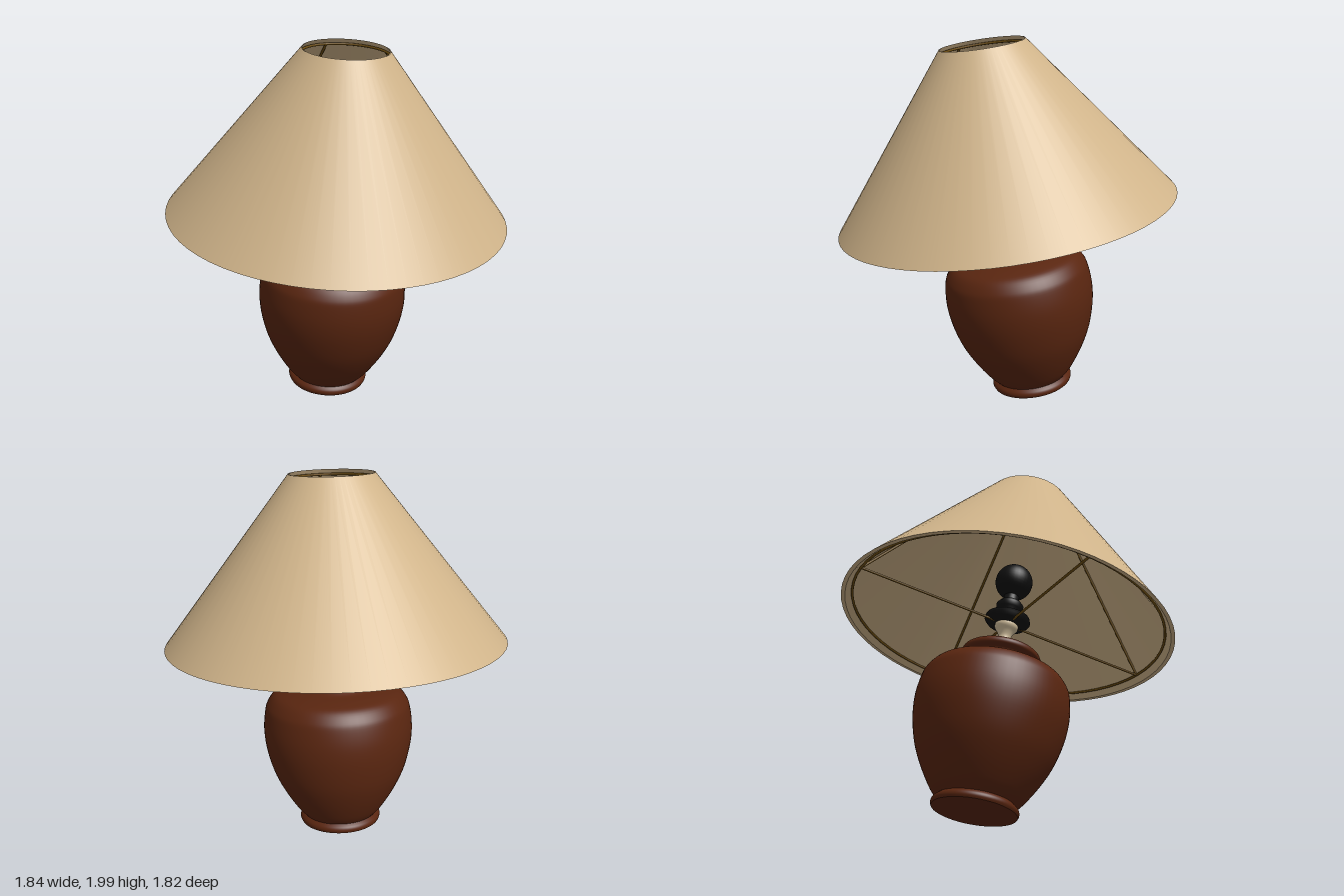
import * as THREE from 'three';

const SIDES = 64;
const mat = (name, color, side = THREE.FrontSide) => {
  const m = new THREE.MeshStandardMaterial({ color, side });
  m.name = name;
  return m;
};

export function createModel() {
  const clay = mat('brown clay', 0x5a2610);
  const fabric = mat('tan fabric', 0xd0b48a, THREE.DoubleSide);
  const cream = mat('cream ceramic', 0xd8c5a2);
  const black = mat('black plastic', 0x101010);
  const brass = mat('dark brass', 0x6b4c10);

  const lamp = new THREE.Group();
  lamp.name = 'tableLamp';

  const add = (name, geometry, material) => {
    const mesh = new THREE.Mesh(geometry, material);
    mesh.name = name;
    lamp.add(mesh);
    return mesh;
  };
  const vec = (pts) => pts.map(([r, y]) => new THREE.Vector2(r, y));
  const lathe = (name, pts, material) => add(name, new THREE.LatheGeometry(vec(pts), SIDES), material);
  const smooth = (pts, n) => new THREE.SplineCurve(vec(pts)).getPoints(n).map((p) => [p.x, p.y]);

  // Vase: flat underside, foot ring, bulging body, grooved neck and lip
  lathe('vaseUnderside', [[0, 0], [0.22, 0]], clay);
  lathe('vaseFoot', smooth([[0.22, 0], [0.226, 0.015], [0.222, 0.032], [0.206, 0.048]], 10), clay);
  lathe('vaseBody', smooth([
    [0.206, 0.048], [0.25, 0.1], [0.315, 0.205], [0.368, 0.32], [0.402, 0.45], [0.412, 0.56],
    [0.402, 0.66], [0.385, 0.71], [0.345, 0.757], [0.28, 0.78], [0.22, 0.793], [0.19, 0.808]], 50), clay);
  lathe('vaseNeck', smooth([
    [0.19, 0.808], [0.199, 0.818], [0.186, 0.832], [0.19, 0.845], [0.198, 0.85], [0.214, 0.862],
    [0.216, 0.88], [0.205, 0.896], [0.18, 0.905], [0.1, 0.908], [0, 0.908]], 40), clay);

  // Waisted stem between the vase and the socket
  lathe('stem', smooth([
    [0.075, 0.9], [0.064, 0.93], [0.04, 0.97], [0.034, 1.0], [0.045, 1.03], [0.062, 1.055],
    [0.064, 1.075], [0.05, 1.09]], 28), cream);

  // Socket with a wide saucer and a collar, then the bulb
  lathe('socket', [
    [0, 1.075], [0.06, 1.075], [0.11, 1.085], [0.127, 1.105], [0.122, 1.125], [0.06, 1.135], [0.055, 1.16],
    [0.074, 1.175], [0.076, 1.205], [0.06, 1.225], [0.042, 1.235], [0.042, 1.29]], black);
  add('bulb', new THREE.SphereGeometry(0.105, 32, 20), black).position.y = 1.36;

  // Conical shade: outer wall, hem at the bottom, inner wall
  lathe('shadeOuter', [[0.922, 1.054], [0.228, 1.948]], fabric);
  lathe('shadeHem', [[0.9, 1.054], [0.922, 1.054]], fabric);
  lathe('shadeInner', [[0.9, 1.054], [0.224, 1.948]], fabric);

  // Wire frame: two rings, four ribs and four spokes
  const wire = 0.007;
  const ring = (name, r, y) => {
    const mesh = add(name, new THREE.TorusGeometry(r, wire, 8, SIDES), brass);
    mesh.rotation.x = Math.PI / 2;
    mesh.position.y = y;
  };
  const rod = (name, a, b) => {
    const dir = b.clone().sub(a);
    const mesh = add(name, new THREE.CylinderGeometry(wire, wire, dir.length(), 8), brass);
    mesh.position.copy(a).add(b).multiplyScalar(0.5);
    mesh.quaternion.setFromUnitVectors(new THREE.Vector3(0, 1, 0), dir.normalize());
  };
  ring('bottomRing', 0.866, 1.085);
  ring('topRing', 0.232, 1.92);
  for (let i = 0; i < 4; i++) {
    const a = (i * Math.PI) / 2;
    const at = (r, y) => new THREE.Vector3(Math.cos(a) * r, y, Math.sin(a) * r);
    rod('frameRib', at(0.866, 1.085), at(0.232, 1.92));
    rod('frameSpoke', at(0.05, 1.085), at(0.866, 1.085));
  }

  // The whole lamp leans forward and slightly to one side
  lamp.rotation.set(0.16, 0, 0.02);
  lamp.position.set(0.02, 0.04, -0.165);

  const model = new THREE.Group();
  model.name = 'leaningLamp';
  model.add(lamp);
  return model;
}
